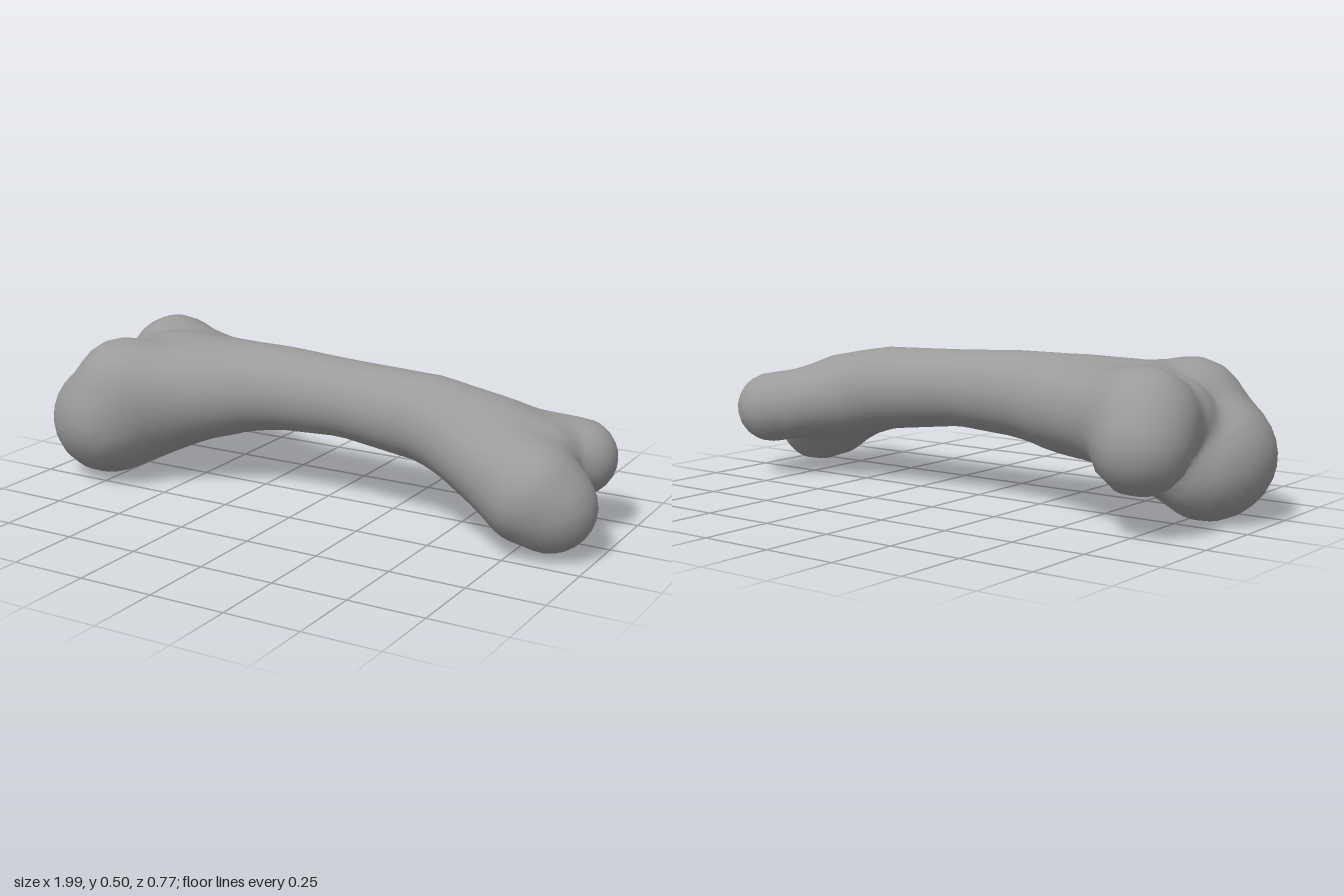
import * as THREE from 'three';
import { mergeVertices } from 'three/addons/utils/BufferGeometryUtils.js';

// Tapered limbs as chains of balls: [x, y, z, radius]
const shaft = [
  [-0.74, 0.315, -0.02, 0.145], [-0.62, 0.335, 0, 0.163], [-0.4, 0.335, 0.01, 0.163],
  [-0.18, 0.355, 0.005, 0.142], [0.08, 0.355, 0.01, 0.128], [0.4, 0.33, 0.015, 0.142],
  [0.62, 0.287, 0.02, 0.145], [0.77, 0.25, 0.01, 0.125],
];
const lobes = [
  // large right end, front knuckle: core, inner swell, upper shoulder, outer bulge
  [[-0.4, 0.32, 0.05, 0.14], [-0.8, 0.2, 0.15, 0.195]],
  [[-0.55, 0.3, 0.05, 0.13], [-0.8, 0.172, 0.09, 0.165]],
  [[-0.4, 0.33, 0.06, 0.14], [-0.7, 0.32, 0.18, 0.168]],
  [[-0.7, 0.32, 0.18, 0.165], [-0.74, 0.23, 0.2, 0.185]],
  // large right end, back knuckle: upper ridge and rounded tip
  [[-0.35, 0.335, -0.04, 0.13], [-0.74, 0.335, -0.18, 0.16]],
  [[-0.74, 0.335, -0.18, 0.16], [-0.765, 0.275, -0.23, 0.152]],
  // small left end: front knuckle with its tip, then back knuckle
  [[0.5, 0.3, 0.05, 0.13], [0.8, 0.195, 0.15, 0.155]],
  [[0.8, 0.195, 0.15, 0.153], [0.86, 0.155, 0.14, 0.14]],
  [[0.55, 0.29, -0.01, 0.12], [0.84, 0.24, -0.12, 0.123]],
];

const a = new THREE.Vector3(), ab = new THREE.Vector3(), ap = new THREE.Vector3();

// Distance from p to a limb tapering from ball s to ball e
function limbDistance(p, s, e) {
  a.fromArray(s);
  ab.fromArray(e).sub(a);
  ap.copy(p).sub(a);
  const t = THREE.MathUtils.clamp(ap.dot(ab) / ab.lengthSq(), 0, 1);
  return ap.addScaledVector(ab, -t).length() - THREE.MathUtils.lerp(s[3], e[3], t);
}

// Soft union that fills the creases between limbs
function blend(d1, d2, k) {
  const h = Math.max(k - Math.abs(d1 - d2), 0) / k;
  return Math.min(d1, d2) - h * h * k * 0.25;
}

function boneDistance(p) {
  let d = Infinity;
  for (let i = 1; i < shaft.length; i++) d = Math.min(d, limbDistance(p, shaft[i - 1], shaft[i]));
  for (const [s, e] of lobes) d = blend(d, limbDistance(p, s, e), 0.04);
  return d;
}

export function createModel() {
  const group = new THREE.Group();
  group.name = 'bone';

  // A capsule skin shrunk along its own rays onto the blended limbs
  const half = 0.71;
  let geometry = new THREE.CapsuleGeometry(0.3, half * 2, 18, 40, 28);
  geometry.rotateZ(Math.PI / 2);
  geometry.deleteAttribute('uv');
  geometry.deleteAttribute('normal');
  geometry = mergeVertices(geometry, 1e-4);

  const pos = geometry.attributes.position;
  const origin = new THREE.Vector3(), dir = new THREE.Vector3(), p = new THREE.Vector3();
  for (let i = 0; i < pos.count; i++) {
    p.fromBufferAttribute(pos, i);
    const x = THREE.MathUtils.clamp(p.x, -half, half);
    dir.set(p.x - x, p.y, p.z).normalize();
    origin.set(x, 0.345 - 0.11 * x * x, 0);
    let t = 0.7;
    for (let n = 0; n < 80 && t > 0.02; n++) {
      p.copy(origin).addScaledVector(dir, t);
      const d = boneDistance(p);
      if (d < 0.0004) break;
      t -= d * 0.8;
    }
    pos.setXYZ(i, p.x, p.y, p.z);
  }

  // Rest on the ground, centred
  geometry.computeBoundingBox();
  const { min, max } = geometry.boundingBox;
  geometry.translate(-(min.x + max.x) / 2, -min.y, -(min.z + max.z) / 2);
  geometry.computeVertexNormals();

  const bone = new THREE.Mesh(geometry, new THREE.MeshStandardMaterial({ color: 0x9b9b9b }));
  bone.name = 'boneShaftAndKnuckles';
  group.add(bone);
  return group;
}
